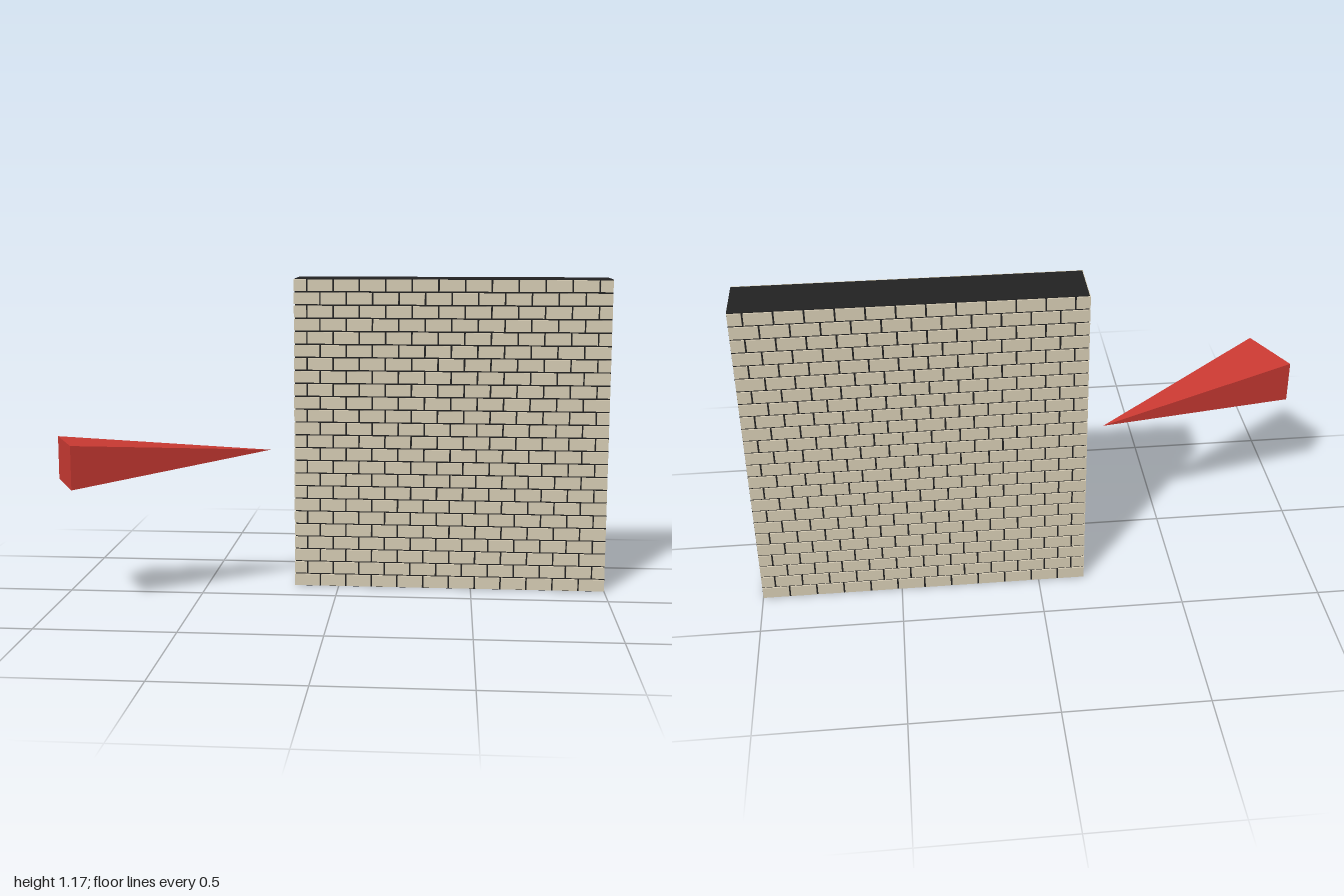
import * as THREE from 'three';
import { mergeGeometries } from 'three/addons/utils/BufferGeometryUtils.js';

const S = 0.0972;                 // brick length; height is half, depth is double
const COLS = 12, ROWS = 24;
const X0 = -0.1664, X1 = X0 + COLS * S;
const Z_FRONT = -0.1296, Z_BACK = -0.324;
const GAP = 0.006;

// Box given by its minimum and maximum corners
function boxBetween(a, b) {
  const g = new THREE.BoxGeometry(b[0] - a[0], b[1] - a[1], b[2] - a[2]);
  return g.translate((a[0] + b[0]) / 2, (a[1] + b[1]) / 2, (a[2] + b[2]) / 2);
}

// Running-bond courses, with half bricks closing every other row
function brickCourses() {
  const bricks = [];
  const top = ROWS * S / 2;
  for (let r = 0; r < ROWS; r++) {
    const shift = r % 2 ? -S / 2 : 0;
    const y0 = Math.max(0.0005, r * S / 2 + GAP / 2);
    const y1 = Math.min(top - 0.001, (r + 1) * S / 2 - GAP / 2);
    for (let c = 0; c < COLS + (r % 2); c++) {
      const left = X0 + shift + c * S;
      const x0 = Math.max(X0, left + GAP / 2);
      const x1 = Math.min(X1 - 0.0008, left + S - GAP / 2);
      bricks.push(boxBetween([x0 <= X0 + GAP ? X0 : x0, y0, Z_BACK],
        [x1 >= X1 - GAP ? X1 - 0.0008 : x1, y1, Z_FRONT]));
    }
  }
  return mergeGeometries(bricks);
}

// Four-sided pyramid whose tip points at the wall
function pointerGeometry() {
  const base = new THREE.Vector3(-0.95, 0.527, 0.217);
  const tip = new THREE.Vector3(-0.255, 0.527, -0.12);
  const axis = tip.clone().sub(base);
  const length = axis.length();
  axis.normalize();
  const up = new THREE.Vector3(0, 1, 0);
  const side = new THREE.Vector3().crossVectors(axis, up);
  const g = new THREE.ConeGeometry(Math.SQRT1_2, 1, 4)
    .rotateY(Math.PI / 4)
    .translate(0, 0.5, 0)
    .scale(0.236, length, 0.157)
    .applyMatrix4(new THREE.Matrix4().makeBasis(side, axis, up).setPosition(base))
    .toNonIndexed();
  g.computeVertexNormals();
  return g;
}

export function createModel() {
  const brick = new THREE.MeshStandardMaterial({ color: 0xd6ccb4 });
  brick.name = 'sandBrick';
  const mortar = new THREE.MeshStandardMaterial({ color: 0x222222 });
  mortar.name = 'darkMortar';
  const red = new THREE.MeshStandardMaterial({ color: 0xcc3a33 });
  red.name = 'pointerRed';

  const model = new THREE.Group();
  model.name = 'brickWallWithPointer';
  const add = (name, geometry, material) => {
    const mesh = new THREE.Mesh(geometry, material);
    mesh.name = name;
    model.add(mesh);
  };

  add('bricks', brickCourses(), brick);
  // Mortar core, set back from the front, rear and left-hand brick faces
  add('mortarCore', boxBetween([X0 + 0.003, 0, Z_BACK + 0.005],
    [X1, ROWS * S / 2, Z_FRONT - 0.009]), mortar);
  add('pointer', pointerGeometry(), red);
  return model;
}
